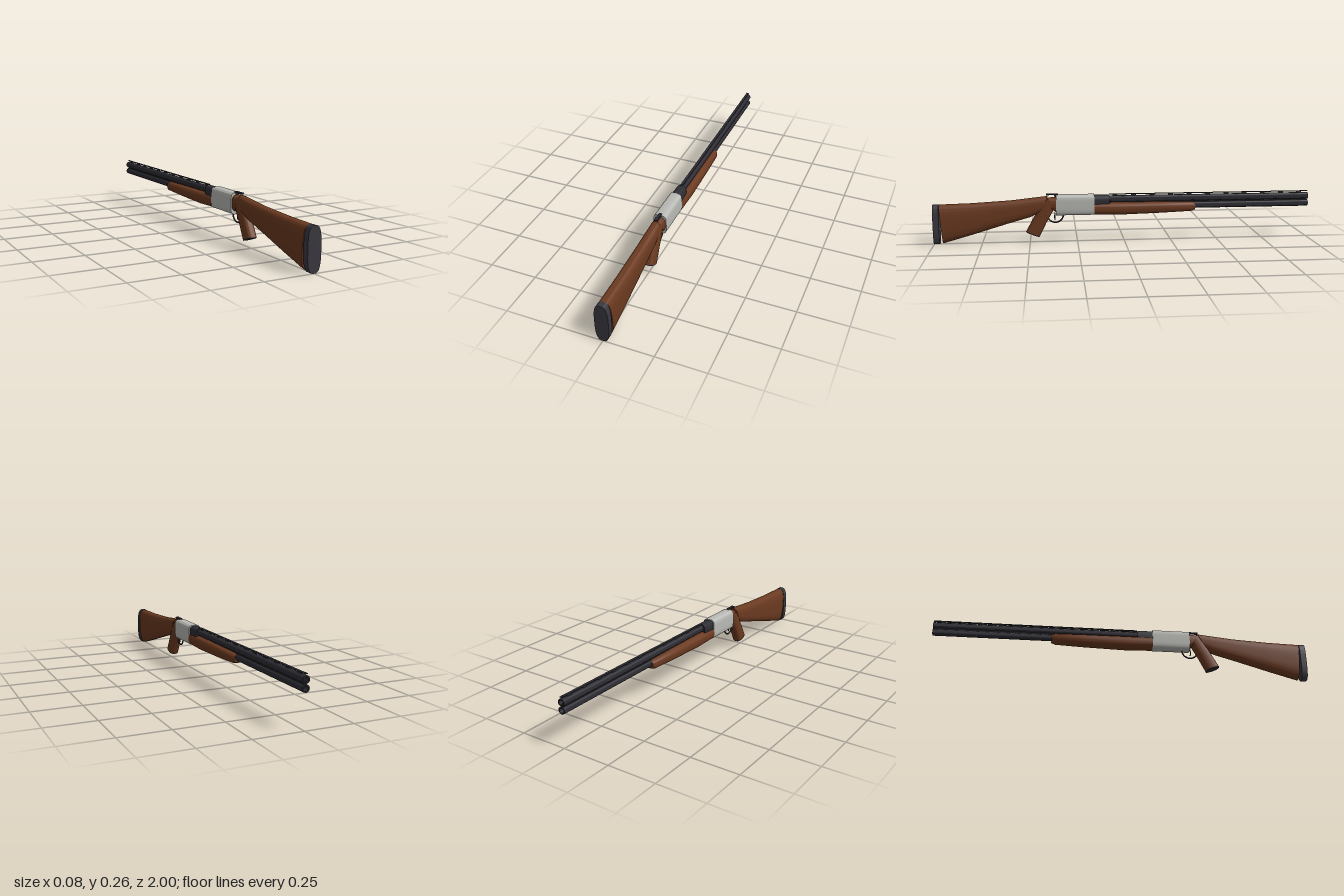
import * as THREE from 'three';
import { toCreasedNormals } from 'three/addons/utils/BufferGeometryUtils.js';

const mat = (name, color) => new THREE.MeshStandardMaterial({ name, color });

// Superellipse ring: half width w, half height h, exponent e (2 is an ellipse, higher is boxier)
function ovalRing(w, h, e, count = 48) {
  const bend = (v) => Math.sign(v) * Math.abs(v) ** (2 / e);
  return Array.from({ length: count }, (_, i) => {
    const a = (i / count) * Math.PI * 2;
    return [w * bend(Math.cos(a)), h * bend(Math.sin(a))];
  });
}

// Skin through sections [zTop, yTop, zBottom, yBottom, halfWidth, exponent], capped at both ends
function loft(sections) {
  const pos = [], idx = [];
  let n = 0;
  for (const [zt, yt, zb, yb, w, e] of sections) {
    const cz = (zt + zb) / 2, cy = (yt + yb) / 2;
    const h = Math.hypot(zt - zb, yt - yb) / 2;
    const uz = (zt - zb) / (2 * h), uy = (yt - yb) / (2 * h);
    const ring = ovalRing(w, h, e);
    n = ring.length;
    for (const [x, v] of ring) pos.push(x, cy + uy * v, cz + uz * v);
  }
  const last = (sections.length - 1) * n;
  for (let a = 0; a < last; a += n) {
    for (let i = 0; i < n; i++) {
      const j = (i + 1) % n;
      idx.push(a + i, a + j, a + n + j, a + i, a + n + j, a + n + i);
    }
  }
  for (let i = 1; i < n - 1; i++) {
    idx.push(0, i + 1, i);
    idx.push(last, last + i, last + i + 1);
  }
  const g = new THREE.BufferGeometry();
  g.setAttribute('position', new THREE.Float32BufferAttribute(pos, 3));
  g.setIndex(idx);
  return toCreasedNormals(g, 0.7);
}

// Upright section at one z
const up = (z, top, bottom, w, e) => [z, top, z, bottom, w, e];

export function createModel() {
  const group = new THREE.Group();
  const wood = mat('walnut wood', 0x6b3a20);
  const steel = mat('blued steel', 0x2e2d34);
  const silver = mat('silver receiver', 0xb9bab5);
  const rubber = mat('rubber pad', 0x3a383f);

  function add(name, geometry, material, x = 0, y = 0, z = 0) {
    const m = new THREE.Mesh(geometry, material);
    m.name = name;
    m.position.set(x, y, z);
    group.add(m);
  }
  const box = (w, h, d) => new THREE.BoxGeometry(w, h, d);

  // Butt stock, widening and dropping toward the rear
  add('stock', loft([
    [0.405, 0.245, 0.445, 0.158, 0.026, 2.6],
    [0.47, 0.238, 0.5, 0.134, 0.028, 2.8],
    [0.6, 0.224, 0.615, 0.102, 0.03, 3],
    [0.8, 0.213, 0.8, 0.047, 0.033, 3],
    [0.968, 0.209, 0.952, 0.004, 0.0345, 3],
  ]), wood);

  // Butt pad
  add('buttPad', loft([
    up(0.969, 0.21, 0, 0.035, 3),
    up(1, 0.21, 0, 0.035, 3),
  ]), rubber);

  // Pistol grip, slanting back and down
  add('grip', loft([
    [0.412, 0.238, 0.364, 0.202, 0.026, 2.6],
    [0.44, 0.2, 0.376, 0.168, 0.028, 2.6],
    [0.48, 0.13, 0.411, 0.106, 0.028, 2.6],
    [0.519, 0.06, 0.448, 0.032, 0.028, 2.6],
  ]), wood);
  add('gripCap', loft([
    [0.519, 0.06, 0.448, 0.032, 0.0282, 2.6],
    [0.521, 0.056, 0.45, 0.028, 0.027, 2.6],
  ]), steel);
  add('wrist', loft([
    up(0.355, 0.24, 0.155, 0.03, 3),
    [0.405, 0.236, 0.378, 0.17, 0.027, 2.8],
  ]), wood);

  // Receiver
  add('receiver', loft([
    up(0.16, 0.251, 0.143, 0.034, 4.5),
    up(0.361, 0.251, 0.143, 0.034, 4.5),
  ]), silver);

  // Breech block that holds both barrels
  add('breechBlock', loft([
    up(0.08, 0.246, 0.17, 0.026, 3.5),
    up(0.162, 0.247, 0.168, 0.028, 3.5),
  ]), steel);

  // Hollow over-and-under barrels: up the outside, over the muzzle and down the bore
  const profile = [[0.018, -0.15], [0.018, 1], [0.0125, 1], [0.0125, 0.9], [0, 0.9]]
    .map(([r, y]) => new THREE.Vector2(r, y));
  for (const [name, y] of [['upperBarrel', 0.2245], ['lowerBarrel', 0.1855]]) {
    const tube = toCreasedNormals(new THREE.LatheGeometry(profile, 28), 0.7);
    add(name, tube.rotateX(-Math.PI / 2), steel, 0, y, 0);
  }
  add('joiningRib', box(0.014, 0.02, 1.14), steel, 0, 0.205, -0.425);

  // Ventilated sighting rib on short posts
  add('sightRib', box(0.014, 0.003, 1.08), steel, 0, 0.25, -0.46);
  for (let i = 0; i < 11; i++) {
    add('ribPost', box(0.009, 0.01, 0.025), steel, 0, 0.2445, 0.05 - i * 0.1);
  }
  add('frontBead', new THREE.SphereGeometry(0.003, 12, 8), steel, 0, 0.252, -0.99);

  // Fore-end under the barrels
  add('foreEnd', loft([
    up(-0.38, 0.199, 0.16, 0.025, 2.6),
    up(-0.36, 0.204, 0.153, 0.033, 2.8),
    up(-0.2, 0.206, 0.146, 0.036, 2.8),
    up(0.02, 0.207, 0.14, 0.038, 2.8),
    up(0.16, 0.207, 0.144, 0.036, 2.8),
  ]), wood);

  // Opening lever on the tang
  add('topLever', box(0.014, 0.006, 0.06), steel, 0, 0.2535, 0.38);
  add('leverPivot', new THREE.CylinderGeometry(0.009, 0.009, 0.012, 20), steel, 0, 0.249, 0.362);
  add('leverThumbPiece', box(0.018, 0.007, 0.016), steel, 0, 0.253, 0.404);

  // Trigger guard and trigger
  const guard = new THREE.TorusGeometry(0.042, 0.004, 10, 32, Math.PI);
  guard.rotateZ(Math.PI).rotateY(Math.PI / 2);
  add('triggerGuard', guard, steel, 0, 0.145, 0.365);
  const curve = new THREE.QuadraticBezierCurve3(
    new THREE.Vector3(0, 0.155, 0.366), new THREE.Vector3(0, 0.135, 0.371), new THREE.Vector3(0, 0.117, 0.367));
  add('trigger', new THREE.TubeGeometry(curve, 10, 0.003, 8), steel);

  return group;
}
